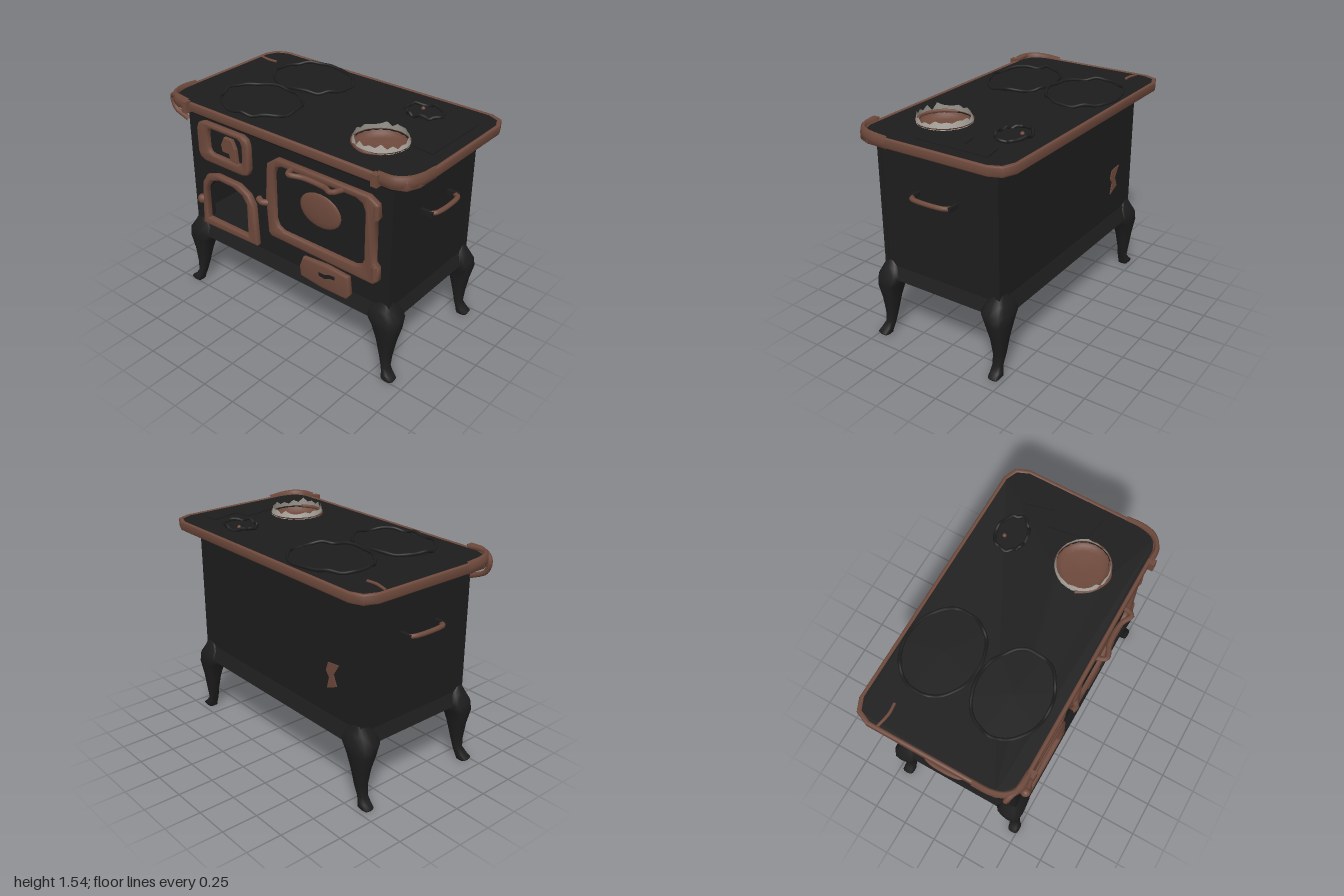
import * as THREE from 'three';
import { toCreasedNormals } from 'three/addons/utils/BufferGeometryUtils.js';

const material = (name, color, side = THREE.FrontSide) => {
  const m = new THREE.MeshStandardMaterial({ color, side });
  m.name = name;
  return m;
};
const V = (x, y, z) => new THREE.Vector3(x, y, z);
const toShape = (pts) => new THREE.Shape(pts.map(([x, y]) => new THREE.Vector2(x, y)));

// Rectangle with cut corners, as a list of points
function cutRect(x0, x1, y0, y1, c) {
  const k = c * 0.3;
  return [[x0 + c, y0], [x1 - c, y0], [x1 - k, y0 + k], [x1, y0 + c], [x1, y1 - c], [x1 - k, y1 - k],
    [x1 - c, y1], [x0 + c, y1], [x0 + k, y1 - k], [x0, y1 - c], [x0, y0 + c], [x0 + k, y0 + k]];
}

// Extruded outline with optional holes and a soft bevel
function slab(outer, holes, depth, bevel = 0) {
  const s = toShape(outer);
  holes.forEach((h) => s.holes.push(toShape(h)));
  return new THREE.ExtrudeGeometry(s, {
    depth: depth - 2 * bevel, bevelEnabled: bevel > 0, bevelSize: bevel,
    bevelThickness: bevel, bevelOffset: -bevel, bevelSegments: 2,
  }).translate(0, 0, bevel);
}

const ellipse = (cx, cy, rx, ry, n = 20) => Array.from({ length: n }, (_, i) => {
  const a = (i / n) * Math.PI * 2;
  return [cx + rx * Math.cos(a), cy + ry * Math.sin(a)];
});

function seeded(seed) {
  return () => {
    seed = (seed * 16807) % 2147483647;
    return seed / 2147483647;
  };
}

const tube = (pts, r, closed = false) =>
  new THREE.TubeGeometry(new THREE.CatmullRomCurve3(pts, closed), pts.length * 5, r, 8, closed);

// Leg lofted through rounded sections: [y, inner x, outer x, inner z, outer z]
const LEG = [
  [0.57, 0.77, 0.842, 0.39, 0.452], [0.515, 0.7, 0.875, 0.34, 0.482], [0.455, 0.68, 0.915, 0.318, 0.507],
  [0.39, 0.73, 0.919, 0.358, 0.505], [0.28, 0.765, 0.892, 0.385, 0.487], [0.16, 0.795, 0.872, 0.405, 0.481],
  [0.08, 0.817, 0.868, 0.418, 0.483], [0.04, 0.83, 0.895, 0.423, 0.5], [0.015, 0.833, 0.927, 0.428, 0.51],
  [0, 0.84, 0.92, 0.43, 0.502],
];
function legGeometry(sx, sz) {
  const n = 12, pos = [], idx = [];
  const soft = (v) => Math.sign(v) * Math.pow(Math.abs(v), 0.6);
  LEG.forEach(([y, xi, xo, zi, zo]) => {
    const back = sz < 0 ? Math.max(0, 0.2 - y) * 0.18 : 0;
    for (let i = 0; i < n; i++) {
      const a = (i / n) * Math.PI * 2;
      pos.push(sx * ((xi + xo) / 2 + soft(Math.cos(a)) * (xo - xi) / 2), y,
        sz * ((zi + zo) / 2 - back + soft(Math.sin(a)) * (zo - zi) / 2));
    }
  });
  const face = (a, b, c) => (sx * sz > 0 ? idx.push(a, b, c) : idx.push(a, c, b));
  for (let r = 0; r < LEG.length - 1; r++) {
    for (let i = 0; i < n; i++) {
      const j = (i + 1) % n, a = r * n, b = a + n;
      face(a + i, a + j, b + i);
      face(a + j, b + j, b + i);
    }
  }
  const last = (LEG.length - 1) * n;
  for (let i = 1; i < n - 1; i++) face(last, last + i, last + i + 1);
  const g = new THREE.BufferGeometry();
  g.setAttribute('position', new THREE.Float32BufferAttribute(pos, 3));
  g.setIndex(idx);
  g.computeVertexNormals();
  return g;
}

// Four-sided band flaring between two rectangles (half sizes)
function flare(y0, hx0, hz0, y1, hx1, hz1) {
  const g = new THREE.BoxGeometry(2, 1, 2), p = g.attributes.position;
  for (let i = 0; i < p.count; i++) {
    const up = p.getY(i) > 0;
    p.setXYZ(i, p.getX(i) * (up ? hx1 : hx0), up ? y1 : y0, p.getZ(i) * (up ? hz1 : hz0));
  }
  g.computeVertexNormals();
  return g;
}

export function createModel() {
  const iron = material('black iron', 0x1d1d1d);
  const copper = material('copper trim', 0x6e493c);
  const copperSheet = material('copper sheet', 0x6e493c, THREE.DoubleSide);
  const ash = material('pale ash', 0xa8a49c, THREE.DoubleSide);
  const root = new THREE.Group();
  root.name = 'stove';
  const add = (name, geo, mat, x = 0, y = 0, z = 0) => {
    const m = new THREE.Mesh(geo, mat);
    m.name = name;
    m.position.set(x, y, z);
    root.add(m);
    return m;
  };
  const box = (name, w, h, d, mat, x, y, z) => add(name, new THREE.BoxGeometry(w, h, d), mat, x, y, z);

  // Hollow body, with an arched opening in the front wall
  const arch = [[-0.685, 0.62], [-0.3, 0.62], [-0.3, 0.87], [-0.34, 0.925], [-0.42, 0.955],
    [-0.55, 0.96], [-0.63, 0.93], [-0.685, 0.86]];
  add('frontWall', slab([[-0.84, 0.5], [0.85, 0.5], [0.85, 1.43], [-0.84, 1.43]], [arch], 0.03), iron, 0, 0, 0.425);
  box('backWall', 1.69, 0.93, 0.03, iron, 0.005, 0.965, -0.435);
  for (const s of [-1, 1]) box('sideWall', 0.03, 0.93, 0.88, iron, s * 0.83, 0.965, 0.005);
  box('fireFloor', 0.6, 0.02, 0.8, iron, -0.5, 0.6, 0.02);
  box('fireWall', 0.02, 0.5, 0.8, iron, -0.2, 0.85, 0.02);
  add('baseSkirt', flare(0.45, 0.88, 0.495, 0.54, 0.842, 0.455), iron);
  add('cornice', flare(1.375, 0.842, 0.455, 1.43, 0.87, 0.48), iron);
  add('backPatch', slab([[-0.53, 0.72], [-0.62, 0.76], [-0.59, 0.83], [-0.64, 0.91], [-0.54, 0.9], [-0.52, 0.84], [-0.55, 0.8]], [], 0.006),
    copperSheet, 0, 0, -0.457);
  for (const sx of [-1, 1]) for (const sz of [-1, 1]) add('leg', legGeometry(sx, sz), iron);

  // Cooktop with copper rim (outline is drawn with -z as up, then laid flat)
  const flat = (g) => g.rotateX(-Math.PI / 2);
  const pot = { x: 0.54, z: 0.165, r: 0.175 };
  add('cooktop', flat(slab(cutRect(-0.975, 0.975, -0.505, 0.575, 0.11),
    [ellipse(pot.x, -pot.z, pot.r, pot.r)], 0.05)), iron, 0, 1.432, 0);
  add('cooktopRim', toCreasedNormals(flat(slab(cutRect(-0.99, 0.99, -0.52, 0.59, 0.12),
    [cutRect(-0.964, 0.964, -0.494, 0.564, 0.11)], 0.066, 0.01)), 0.9), copper, 0, 1.422, 0);

  // Front corners of the rim, swollen upwards
  for (const s of [-1, 1]) {
    const corner = tube([V(s * 0.78, 0, 0.515), V(s * 0.88, 0, 0.51), V(s * 0.95, 0, 0.455), V(s * 0.978, -0.002, 0.37), V(s * 0.98, -0.006, 0.25)], 0.02);
    add('rimCorner', corner.scale(1, 2.2, 1), copper, 0, 1.472, 0);
    box('rimBracket', 0.045, 0.08, 0.045, copper, s * 0.775, 1.46, 0.53);
  }
  add('rimCurl', tube([V(-0.77, 1.49, 0.51), V(-0.9, 1.495, 0.5), V(-0.975, 1.46, 0.47), V(-0.95, 1.38, 0.47), V(-0.84, 1.325, 0.46)], 0.017), copper);
  add('rimSpur', tube([V(-0.97, 1.48, -0.4), V(-0.87, 1.485, -0.38), V(-0.8, 1.485, -0.385)], 0.01), copper);

  // Cooking rings with uneven raised edges
  const rand = seeded(77);
  const rings = [[-0.38, -0.3, 0.295, 0.245], [-0.41, 0.2, 0.295, 0.235], [0.52, -0.335, 0.13, 0.1]];
  for (const [x, z, rx, rz] of rings) {
    const pts = ellipse(x, z, rx, rz, 22).map(([px, pz]) => V(px + (rand() - 0.5) * 0.015, 1.486 + rand() * 0.024, pz));
    add('cookingRing', tube(pts, 0.011, true), iron);
    add('ringLid', new THREE.CylinderGeometry(0.96, 0.96, 0.01, 28).scale(rx, 1, rz), iron, x, 1.483, z);
  }
  add('flueStep', flat(slab([[0.72, -0.1], [0.88, -0.12], [0.88, 0.4], [0.75, 0.38], [0.8, 0.18], [0.68, 0.16]], [], 0.01)), iron, 0, 1.479, 0);
  add('smallStud', new THREE.SphereGeometry(0.014, 8, 6), copper, 0.485, 1.492, -0.37);

  // Shallow copper bowl with a broken pale edge
  const bowl = [[0, -0.04], [0.13, -0.036], [0.165, -0.02], [0.177, 0.005], [0.184, 0.02]].map(([r, y]) => new THREE.Vector2(r, y));
  add('bowl', new THREE.LatheGeometry(bowl, 24), copperSheet, pot.x, 1.475, pot.z);
  const crown = new THREE.CylinderGeometry(0.17, 0.183, 0.04, 30, 1, true);
  const cp = crown.attributes.position;
  for (let i = 0; i < 30; i++) {
    const y = 0.005 + rand() * 0.035 + (i % 2) * 0.02;
    cp.setY(i, y);
    if (i === 0) cp.setY(30, y);
  }
  crown.computeVertexNormals();
  add('bowlEdge', crown, ash, pot.x, 1.49, pot.z);
  add('bowlLip', tube([V(0.36, 1.482, 0.2), V(0.42, 1.485, 0.29), V(0.54, 1.485, 0.345), V(0.65, 1.482, 0.3)], 0.012), copper);

  // Door frames on the front
  const frame = (name, outer, inner, depth = 0.05) =>
    add(name, toCreasedNormals(slab(outer, inner ? [inner] : [], depth, 0.014), 0.9), copper, 0, 0, 0.45);

  // Vent door
  frame('ventFrame', cutRect(-0.73, -0.26, 1.08, 1.37, 0.06), cutRect(-0.63, -0.32, 1.15, 1.335, 0.04));
  box('ventPanel', 0.34, 0.22, 0.015, iron, -0.475, 1.24, 0.46);
  add('ventLatch', slab([[-0.51, 1.25], [-0.48, 1.31], [-0.41, 1.31], [-0.38, 1.25], [-0.37, 1.15], [-0.43, 1.16], [-0.44, 1.2], [-0.5, 1.2]], [], 0.03, 0.006), copper, 0, 0, 0.465);

  // Fire door
  frame('fireDoorFrame', [[-0.74, 0.56], [-0.22, 0.575], [-0.235, 0.88], [-0.28, 0.95], [-0.37, 0.995],
    [-0.58, 1.0], [-0.67, 0.97], [-0.715, 0.9]], arch);
  add('fireDoorKnob', new THREE.SphereGeometry(0.035, 10, 8), copper, -0.75, 0.745, 0.48);

  // Oven door
  frame('ovenFrame', [[-0.08, 0.715], [0.75, 0.705], [0.785, 0.74], [0.785, 0.83], [0.755, 0.86], [0.755, 1.15],
    [0.78, 1.18], [0.77, 1.27], [0.7, 1.31], [-0.02, 1.31], [-0.1, 1.25], [-0.12, 1.0], [-0.105, 0.74]],
  cutRect(-0.04, 0.68, 0.79, 1.265, 0.07));
  box('ovenPanel', 0.76, 0.52, 0.02, iron, 0.32, 1.03, 0.46);
  add('ovenMedallion', new THREE.SphereGeometry(1, 20, 12).scale(0.165, 0.12, 0.022), copper, 0.32, 1.05, 0.47);
  add('ovenHandle', tube([V(0.11, 1.28, 0.49), V(0.14, 1.285, 0.56), V(0.24, 1.28, 0.53), V(0.4, 1.275, 0.53), V(0.48, 1.285, 0.565), V(0.51, 1.28, 0.49)], 0.018), copper);
  add('ovenKnob', tube([V(-0.1, 0.96, 0.49), V(-0.14, 0.96, 0.51), V(-0.18, 0.97, 0.5)], 0.022), copper);
  for (const y of [0.79, 1.22]) {
    add('ovenHinge', new THREE.CylinderGeometry(0.02, 0.02, 0.09, 10), copper, 0.76, y, 0.49);
  }

  // Ash drawer with a dark pull slot
  frame('ashDrawer', [[0.16, 0.5], [0.34, 0.48], [0.54, 0.485], [0.57, 0.53], [0.555, 0.66], [0.38, 0.672], [0.18, 0.655], [0.15, 0.58]], null, 0.04);
  add('drawerSlot', slab([[0.32, 0.575], [0.37, 0.57], [0.41, 0.59], [0.45, 0.595], [0.45, 0.62], [0.4, 0.615], [0.37, 0.6], [0.32, 0.6]], [], 0.006),
    iron, 0, 0, 0.487);

  // Side handles: copper bar on iron stubs
  for (const s of [-1, 1]) {
    add('sideHandle', tube([V(s * 0.9, 1.107, 0.148), V(s * 0.935, 1.112, 0.12),
      V(s * 0.935, 1.112, -0.12), V(s * 0.9, 1.107, -0.148)], 0.016), copper);
    for (const z of [-0.148, 0.148]) box('handleStub', 0.1, 0.032, 0.026, iron, s * 0.88, 1.107, z);
  }
  return root;
}
